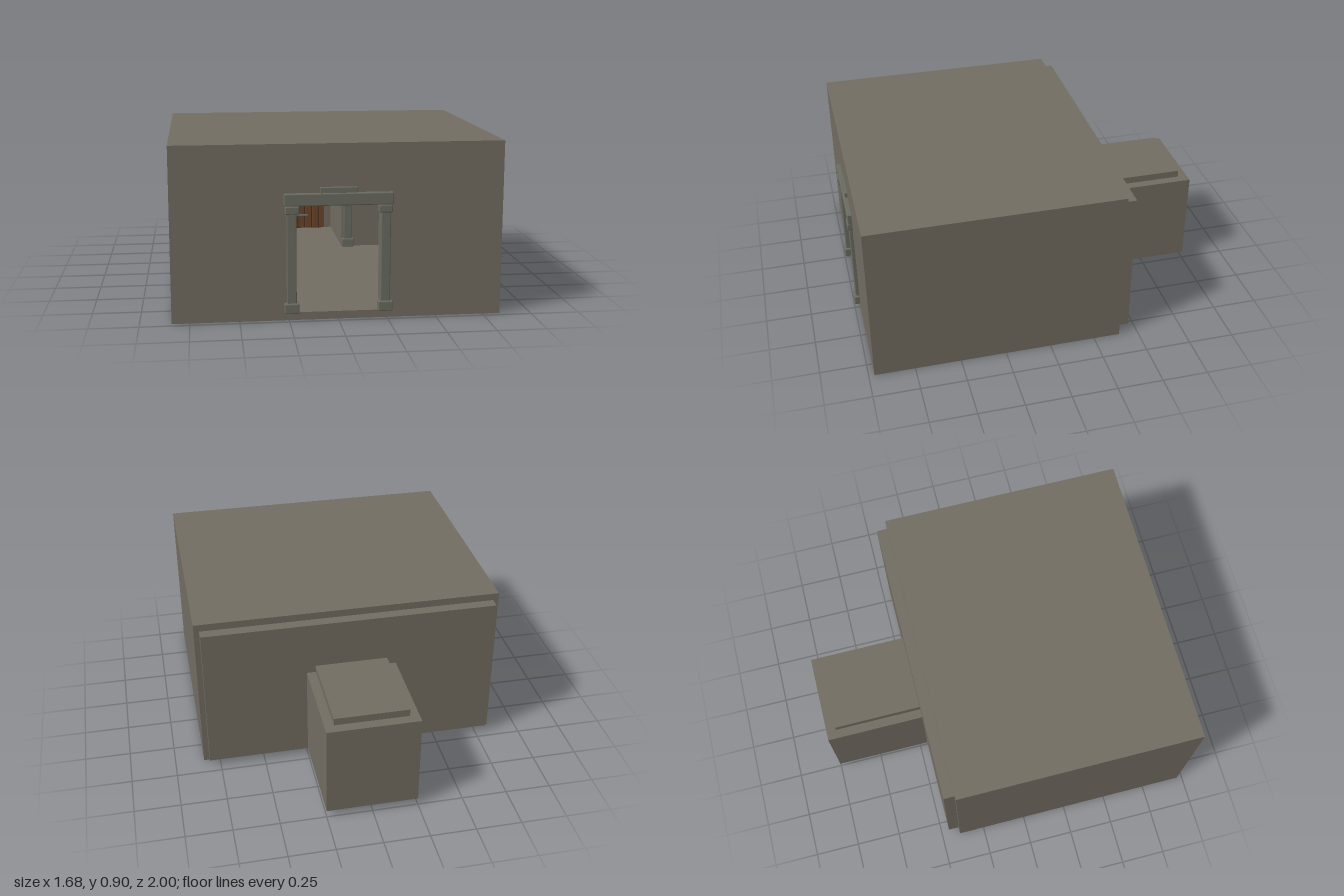
import * as THREE from 'three';
import { RoundedBoxGeometry } from 'three/addons/geometries/RoundedBoxGeometry.js';

const mat = (name, color) => new THREE.MeshStandardMaterial({ name, color });

export function createModel() {
  const stone = mat('stone', 0x736d62);
  const trim = mat('trimStone', 0x6b6c60);
  const wood = mat('wood', 0x6b4529);
  const darkWood = mat('darkWood', 0x4a2f1c);
  const iron = mat('iron', 0x6f7068);

  // Box given by its limits on each axis; a bevel softens its edges
  function block(parent, name, material, [x0, x1], [y0, y1], [z0, z1], bevel = 0) {
    const size = [x1 - x0, y1 - y0, z1 - z0];
    const geometry = bevel ? new RoundedBoxGeometry(...size, 2, bevel) : new THREE.BoxGeometry(...size);
    const mesh = new THREE.Mesh(geometry, material);
    mesh.name = name;
    mesh.position.set((x0 + x1) / 2, (y0 + y1) / 2, (z0 + z1) / 2);
    parent.add(mesh);
    return mesh;
  }

  // Wall with a doorway notch reaching its lower edge
  function doorwayWall(parent, name, halfWidth, y0, y1, doorHalf, doorTop, z0, z1) {
    const shape = new THREE.Shape([
      [-halfWidth, y0], [-doorHalf, y0], [-doorHalf, doorTop], [doorHalf, doorTop],
      [doorHalf, y0], [halfWidth, y0], [halfWidth, y1], [-halfWidth, y1],
    ].map(([x, y]) => new THREE.Vector2(x, y)));
    const geometry = new THREE.ExtrudeGeometry(shape, { depth: z1 - z0, bevelEnabled: false });
    const mesh = new THREE.Mesh(geometry, stone);
    mesh.name = name;
    mesh.position.z = z0;
    parent.add(mesh);
  }

  // Columned surround, with the wall face at local z = 0
  function makeFrame(name) {
    const frame = new THREE.Group();
    frame.name = name;
    for (const s of [-1, 1]) {
      const span = (a, b) => (s > 0 ? [a, b] : [-b, -a]);
      block(frame, 'columnBase', trim, span(0.2, 0.275), [0.04, 0.092], [-0.02, 0.03], 0.006);
      block(frame, 'columnShaft', trim, span(0.213, 0.262), [0.085, 0.555], [-0.03, 0.02], 0.005);
      block(frame, 'columnCapital', trim, span(0.2, 0.27), [0.55, 0.59], [-0.02, 0.028], 0.006);
    }
    block(frame, 'lintel', trim, [-0.275, 0.275], [0.59, 0.653], [-0.03, 0.024], 0.006);
    block(frame, 'lintelCrown', trim, [-0.095, 0.095], [0.65, 0.682], [-0.01, 0.015], 0.004);
    return frame;
  }

  // Planked door with straps and a latch
  function makeDoor(name) {
    const door = new THREE.Group();
    door.name = name;
    block(door, 'doorBacking', darkWood, [-0.152, 0.15], [0.04, 0.525], [-0.005, 0.01]);
    const seams = [-0.152, -0.118, -0.072, -0.026, 0.02, 0.068, 0.115, 0.15];
    for (let i = 0; i < seams.length - 1; i++) {
      block(door, 'plank', wood, [seams[i] + 0.003, seams[i + 1] - 0.003], [0.042, 0.49], [0, 0.017], 0.003);
    }
    block(door, 'topRail', wood, [-0.152, 0.15], [0.492, 0.525], [0, 0.022], 0.003);
    block(door, 'doorHood', trim, [-0.167, 0.163], [0.527, 0.55], [0, 0.03], 0.004);
    for (const y of [0.13, 0.402]) {
      block(door, 'hingeStrap', iron, [-0.113, 0.042], [y - 0.008, y + 0.008], [0.014, 0.023], 0.003);
    }
    block(door, 'latchPlate', iron, [0.07, 0.092], [0.25, 0.285], [0.014, 0.021], 0.003);
    const ring = new THREE.Mesh(new THREE.TorusGeometry(0.011, 0.003, 6, 14), iron);
    ring.name = 'latchRing';
    ring.position.set(0.08, 0.262, 0.024);
    door.add(ring);
    return door;
  }

  const model = new THREE.Group();
  model.name = 'stoneChamber';

  // Main room
  const room = new THREE.Group();
  room.name = 'room';
  model.add(room);
  block(room, 'floor', stone, [-0.84, 0.84], [0, 0.04], [-0.395, 0.97]);
  block(room, 'ceiling', stone, [-0.84, 0.84], [0.86, 0.9], [-0.395, 0.97]);
  block(room, 'rightWall', stone, [-0.84, -0.78], [0.04, 0.86], [-0.395, 0.97]);
  block(room, 'leftWall', stone, [0.78, 0.84], [0.04, 0.86], [-0.395, 0.97]);
  doorwayWall(room, 'frontWall', 0.78, 0.04, 0.86, 0.213, 0.59, 0.91, 0.97);
  doorwayWall(room, 'backWall', 0.81, 0.04, 0.86, 0.2, 0.56, -0.455, -0.395);

  // Rear passage, with floor and roof slabs standing proud of its walls
  const passage = new THREE.Group();
  passage.name = 'passage';
  model.add(passage);
  block(passage, 'passageFloor', stone, [-0.2, 0.2], [0, 0.04], [-0.945, -0.455]);
  block(passage, 'passageRoof', stone, [-0.2, 0.2], [0.56, 0.6], [-0.945, -0.455]);
  block(passage, 'passageRightWall', stone, [-0.25, -0.2], [0.04, 0.56], [-0.945, -0.455]);
  block(passage, 'passageLeftWall', stone, [0.2, 0.25], [0.04, 0.56], [-0.945, -0.455]);
  block(passage, 'passageEndWall', stone, [-0.25, 0.25], [0.04, 0.56], [-1, -0.945]);
  block(passage, 'threshold', stone, [-0.2, 0.2], [0.036, 0.04], [-0.455, -0.395]);

  // Surrounds and doors
  const place = (part, x, z, turn = 0) => {
    part.position.set(x, 0, z);
    part.rotation.y = turn;
    model.add(part);
  };
  place(makeFrame('entranceFrame'), 0, 0.97);
  place(makeFrame('passageFrame'), 0, -0.395);
  place(makeDoor('passageDoor'), 0, -0.945);
  for (const s of [-1, 1]) {
    place(makeFrame('sideDoorFrame'), s * 0.78, 0.26, -s * Math.PI / 2);
    place(makeDoor('sideDoor'), s * 0.78, 0.26, -s * Math.PI / 2);
  }
  return model;
}
